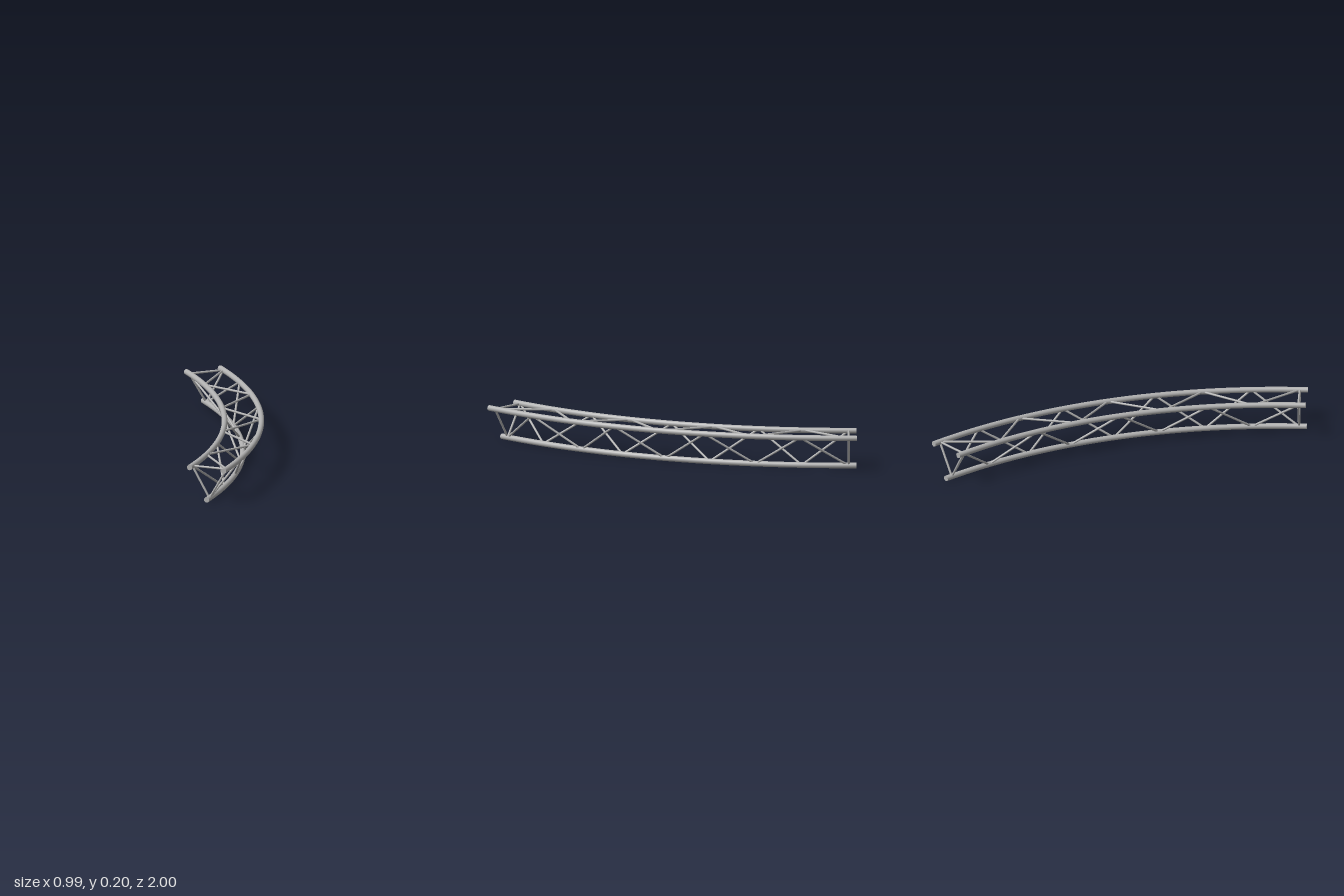
import * as THREE from 'three';

const CENTER_X = -2.333, START_Z = 1;      // centre of the bend
const SWEEP = Math.PI / 4;                 // 45 degree bend
const CHORD_R = 0.0155, BRACE_R = 0.0062;
const BAYS = 8, FIRST = THREE.MathUtils.degToRad(0.9);

// the three main tubes: bend radius and height
const CHORDS = {
  inner: { r: 2.613, y: 0.188 },
  outer: { r: 2.813, y: 0.188 },
  lower: { r: 2.713, y: 0.0155 },
};

const pointOn = ({ r, y }, a, target = new THREE.Vector3()) =>
  target.set(CENTER_X + r * Math.cos(a), y, START_Z - r * Math.sin(a));

class ChordCurve extends THREE.Curve {
  constructor(chord) { super(); this.chord = chord; }
  getPoint(t, target) { return pointOn(this.chord, t * SWEEP, target); }
}

export function createModel() {
  const model = new THREE.Group();
  model.name = 'curvedTruss';
  const metal = new THREE.MeshStandardMaterial({ color: 0xb0b0b0 });
  metal.name = 'aluminium grey';

  const add = (parent, geometry, name) => {
    const mesh = new THREE.Mesh(geometry, metal);
    mesh.name = name;
    parent.add(mesh);
    return mesh;
  };

  // main tubes with flat end caps
  for (const [name, chord] of Object.entries(CHORDS)) {
    const group = new THREE.Group();
    group.name = name + 'Chord';
    model.add(group);
    add(group, new THREE.TubeGeometry(new ChordCurve(chord), 48, CHORD_R, 20), name + 'Tube');
    for (const [a, turn] of [[0, 0], [SWEEP, Math.PI]]) {
      const cap = add(group, new THREE.CircleGeometry(CHORD_R, 20), name + 'EndCap');
      pointOn(chord, a, cap.position);
      cap.rotation.y = a + turn;
    }
  }

  // thin round bar between two nodes
  const node = (name, k) => pointOn(CHORDS[name], FIRST + (k * (SWEEP - 2 * FIRST)) / BAYS);
  const brace = (parent, a, b, name) => {
    const dir = b.clone().sub(a);
    const bar = add(parent, new THREE.CylinderGeometry(BRACE_R, BRACE_R, dir.length(), 12), name);
    bar.position.copy(a).add(b).multiplyScalar(0.5);
    bar.quaternion.setFromUnitVectors(new THREE.Vector3(0, 1, 0), dir.normalize());
  };

  // each face: zigzag from the first chord (even nodes) to the second (odd nodes), plus end bars
  const faces = [
    ['inner', 'lower', 'innerSide'],
    ['lower', 'outer', 'outerSide'],
    ['outer', 'inner', 'top'],
  ];
  for (const [even, odd, name] of faces) {
    const lacing = new THREE.Group();
    lacing.name = name + 'Lacing';
    model.add(lacing);
    for (const k of [0, BAYS]) brace(lacing, node(even, k), node(odd, k), name + 'EndBar');
    for (let k = 0; k < BAYS; k++) {
      const [from, to] = k % 2 ? [odd, even] : [even, odd];
      brace(lacing, node(from, k), node(to, k + 1), name + 'Diagonal');
    }
  }
  return model;
}
